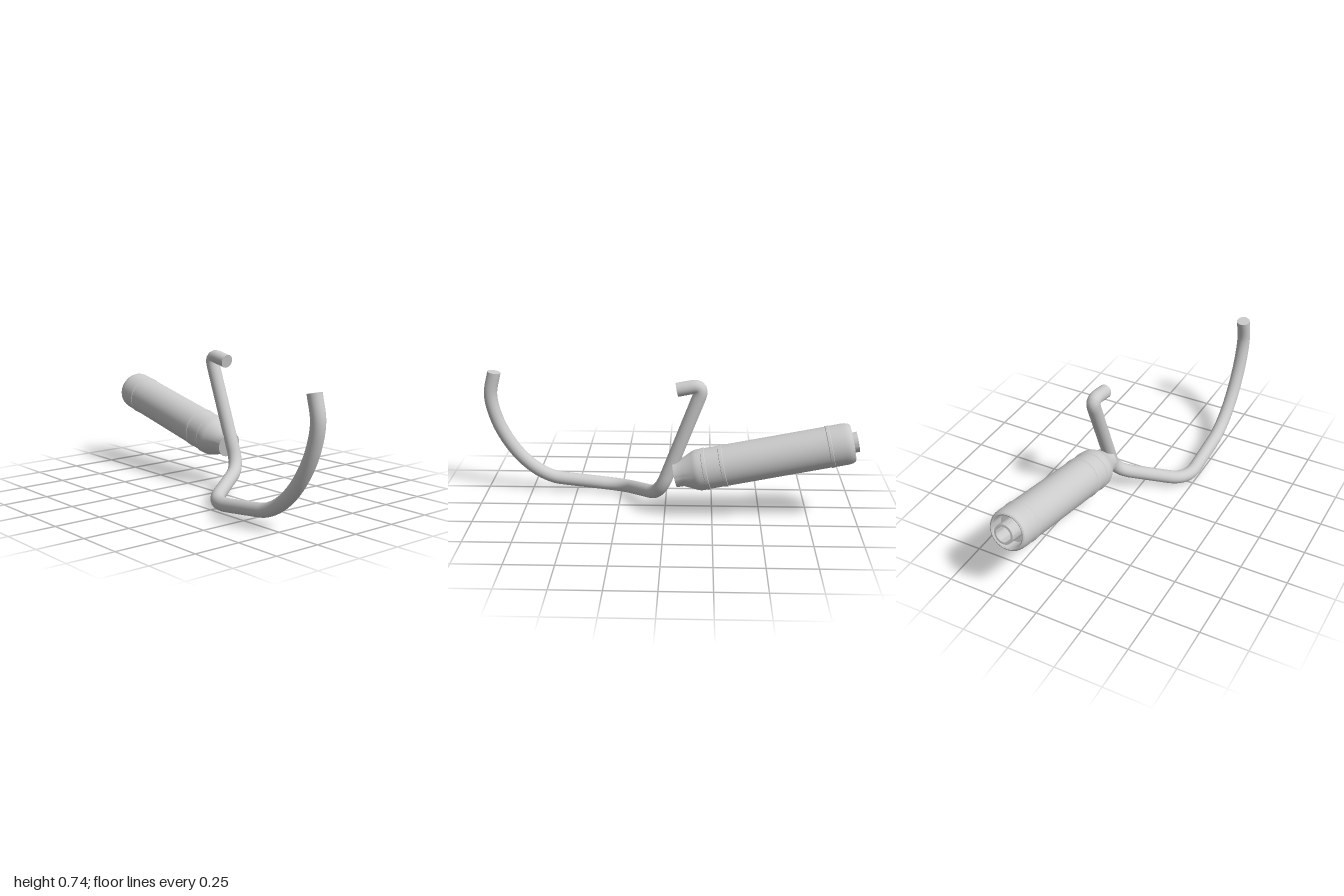
import * as THREE from 'three';
import { toCreasedNormals } from 'three/addons/utils/BufferGeometryUtils.js';

const V = (x, y, z) => new THREE.Vector3(x, y, z);
const PIPE_R = 0.036;

// Point at a given distance from a towards b
const along = (a, b, d) => a.clone().add(b.clone().sub(a).setLength(d));

// Flat disc closing a pipe end, facing the given direction
function endCap(point, direction, material, name) {
  const cap = new THREE.Mesh(new THREE.CircleGeometry(PIPE_R, 32), material);
  cap.position.copy(point);
  cap.quaternion.setFromUnitVectors(V(0, 0, 1), direction.clone().normalize());
  cap.name = name;
  return cap;
}

// Bent header pipe: straight runs, rounded corners, then a long sweep
function makePipe(material) {
  const start = V(-0.064, 0.687, -0.124);
  const corners = [
    { p: V(-0.202, 0.714, -0.124), trim: 0.07 },
    { p: V(0.026, 0.12, -0.124), trim: 0.1 },
    { p: V(0.235, 0.027, 0.223), trim: 0.11 },
  ];
  const sweep = [
    [0.56, 0.063], [0.625, 0.074], [0.71, 0.113], [0.80, 0.188],
    [0.88, 0.295], [0.938, 0.42], [0.963, 0.55], [0.938, 0.677],
  ].map(([x, y]) => V(x, y, 0.223));

  const path = new THREE.CurvePath();
  let from = start;
  corners.forEach(({ p, trim }, i) => {
    const next = i < corners.length - 1 ? corners[i + 1].p : sweep[0];
    const enter = along(p, from, trim);
    const leave = along(p, next, trim);
    path.add(new THREE.LineCurve3(from, enter));
    path.add(new THREE.QuadraticBezierCurve3(enter, p, leave));
    from = leave;
  });
  path.add(new THREE.LineCurve3(from, sweep[0]));
  path.add(new THREE.CatmullRomCurve3(sweep));

  const group = new THREE.Group();
  group.name = 'headerPipe';
  const tube = new THREE.Mesh(new THREE.TubeGeometry(path, 220, PIPE_R, 32), material);
  tube.name = 'bentTube';
  group.add(
    tube,
    endCap(start, path.getTangentAt(0).negate(), material, 'upperPipeEnd'),
    endCap(sweep.at(-1), path.getTangentAt(1), material, 'lowerPipeEnd'),
  );
  return group;
}

// Muffler: one turned profile [radius, distance from the outlet]
function makeMuffler(material) {
  const outlet = V(-0.99, 0.43, -0.157);
  const inlet = V(-0.055, 0.232, -0.132);
  const profile = [
    // outlet pipe and recess
    [0, 0.2], [0.041, 0.2], [0.041, 0], [0.052, 0], [0.052, 0.1], [0.084, 0.1], [0.084, 0.03],
    // rounded rear cap
    [0.09, 0.026], [0.097, 0.03], [0.103, 0.041], [0.106, 0.055], [0.107, 0.07], [0.107, 0.135],
    // rear band
    [0.109, 0.137], [0.109, 0.152], [0.106, 0.154],
    // canister and front bands
    [0.107, 0.69], [0.11, 0.692], [0.11, 0.708], [0.107, 0.71],
    [0.107, 0.782], [0.11, 0.784], [0.11, 0.8], [0.108, 0.802],
    // shoulder, cone and inlet collar
    [0.108, 0.825], [0.106, 0.838], [0.102, 0.85], [0.07, 0.918], [0.069, 0.956], [0, 0.956],
  ].map(([r, s]) => new THREE.Vector2(r, s));

  const muffler = new THREE.Mesh(
    toCreasedNormals(new THREE.LatheGeometry(profile, 56), 0.45), material);
  muffler.name = 'muffler';
  muffler.position.copy(outlet);
  muffler.quaternion.setFromUnitVectors(V(0, 1, 0), inlet.sub(outlet).normalize());
  return muffler;
}

export function createModel() {
  const metal = new THREE.MeshStandardMaterial({ color: 0xcccccc });
  metal.name = 'light grey metal';
  const model = new THREE.Group();
  model.name = 'exhaust';
  model.add(makePipe(metal), makeMuffler(metal));
  return model;
}
